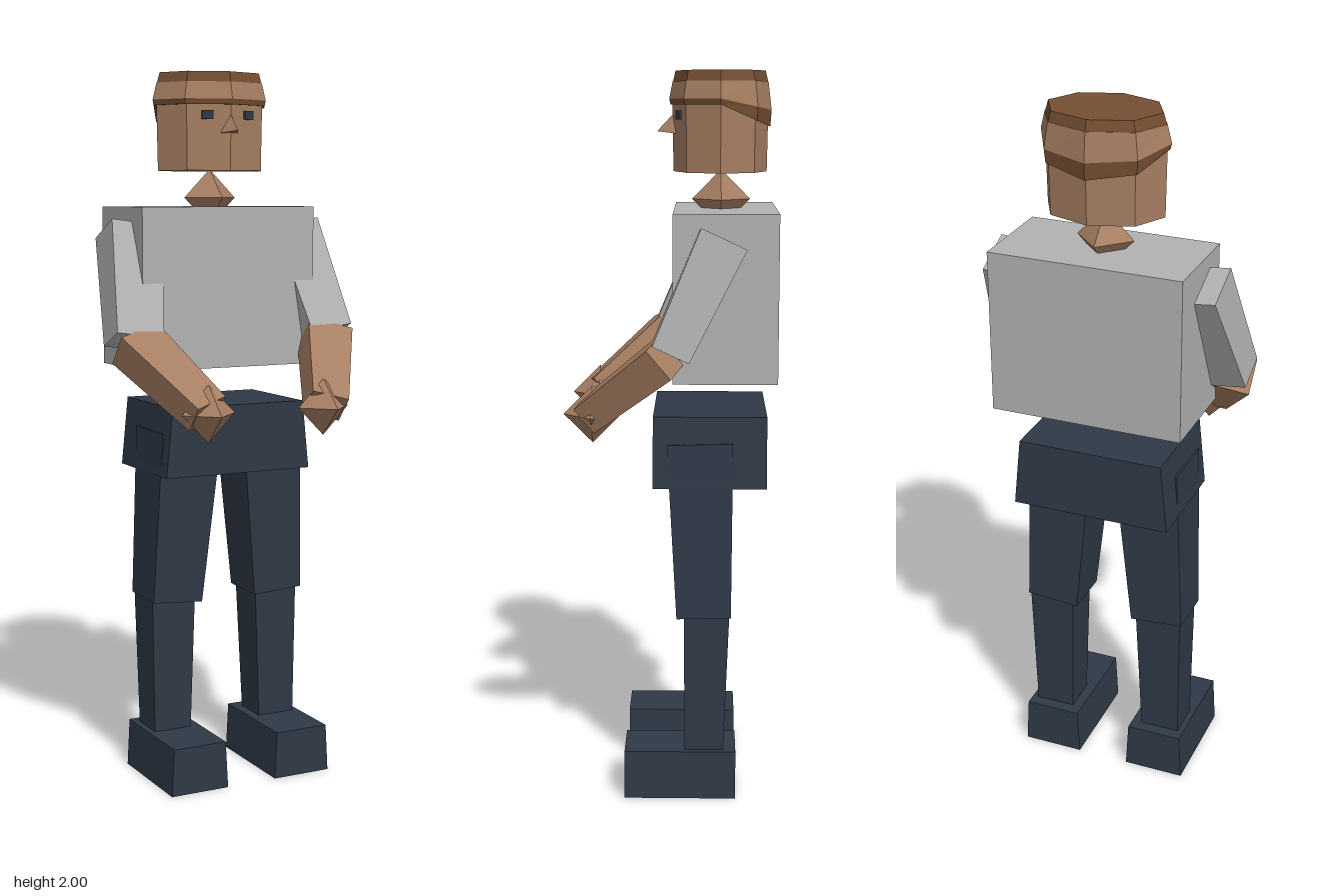
import * as THREE from 'three';

function mat(name, color) {
  const m = new THREE.MeshStandardMaterial({ color, flatShading: true });
  m.name = name;
  return m;
}

export function createModel() {
  const skin = mat('skin', 0xa67e62);
  const hair = mat('hair', 0x744e32);
  const shirt = mat('shirt', 0xb2b2b2);
  const trousers = mat('trousers', 0x2f3947);

  const model = new THREE.Group();
  model.name = 'figure';
  const body = new THREE.Group();
  body.name = 'body';
  body.position.x = 0.004;
  model.add(body);

  function add(name, geometry, material, x = 0, y = 0, z = 0) {
    const mesh = new THREE.Mesh(geometry, material);
    mesh.name = name;
    mesh.position.set(x, y, z);
    body.add(mesh);
    return mesh;
  }

  // Tapered box running from an upper point to a lower one; sizes are [width, depth]
  function taper(name, material, top, bottom, topSize, bottomSize) {
    const a = new THREE.Vector3(...top), b = new THREE.Vector3(...bottom);
    const up = a.clone().sub(b).normalize();
    const side = new THREE.Vector3(1, 0, 0).addScaledVector(up, -up.x).normalize();
    const front = side.clone().cross(up);
    const geometry = new THREE.BoxGeometry(1, 1, 1);
    const p = geometry.attributes.position, v = new THREE.Vector3();
    for (let i = 0; i < p.count; i++) {
      const upper = p.getY(i) > 0;
      const [w, d] = upper ? topSize : bottomSize;
      v.copy(upper ? a : b).addScaledVector(side, p.getX(i) * w).addScaledVector(front, p.getZ(i) * d);
      p.setXYZ(i, v.x, v.y, v.z);
    }
    geometry.computeVertexNormals();
    return add(name, geometry, material);
  }

  // Eight-sided head slice; the drops lower its edges towards the back
  const headZ = -0.135;
  function headSlice(name, material, rTop, rBottom, yTop, yBottom, dropTop = 0, dropBottom = 0) {
    const geometry = new THREE.CylinderGeometry(rTop, rBottom, 1, 8);
    const p = geometry.attributes.position;
    for (let i = 0; i < p.count; i++) {
      const upper = p.getY(i) > 0, z = p.getZ(i);
      const back = Math.max(0, -z / (upper ? rTop : rBottom));
      p.setY(i, upper ? yTop - dropTop * back : yBottom - dropBottom * back);
      p.setZ(i, z * 0.785);
    }
    geometry.computeVertexNormals();
    return add(name, geometry, material, 0, 0, headZ);
  }

  // Trunk
  add('torso', new THREE.BoxGeometry(0.536, 0.45, 0.28), shirt, 0, 1.405, -0.15);
  taper('pelvis', trousers, [0, 1.08, -0.11], [0, 0.885, -0.11], [0.41, 0.31], [0.45, 0.31]);
  add('neck', new THREE.OctahedronGeometry(0.08), skin, 0, 1.655, -0.138);

  // Head and hair
  headSlice('face', skin, 0.167, 0.163, 1.93, 1.73);
  headSlice('hairBand', hair, 0.178, 0.174, 1.925, 1.91, 0.03, 0.06);
  headSlice('crown', skin, 0.166, 0.178, 1.972, 1.925, 0, 0.03);
  headSlice('hairTop', hair, 0.156, 0.165, 2.0, 1.97);

  // Nose: three-sided wedge
  const nose = new THREE.BufferGeometry();
  const top = [0, 1.883, -0.005], tip = [0, 1.838, 0.038];
  const left = [0.028, 1.832, -0.015], right = [-0.028, 1.832, -0.015];
  nose.setAttribute('position', new THREE.Float32BufferAttribute(
    [top, right, tip, top, tip, left, tip, right, left, top, left, right].flat(), 3));
  nose.computeVertexNormals();
  add('nose', nose, skin);

  for (const s of [1, -1]) {
    const label = s > 0 ? 'left' : 'right';
    const at = (x, y, z) => [s * x, y, z];

    // Eye plate lying on the slanted face
    const eye = add(label + 'Eye', new THREE.BoxGeometry(0.032, 0.024, 0.008), trousers, s * 0.064, 1.882, -0.0225);
    eye.rotation.y = s * 0.315;

    // Arm
    taper(label + 'Sleeve', shirt, at(0.251, 1.56, -0.14), at(0.3, 1.264, -0.002), [0.15, 0.132], [0.134, 0.106]);
    taper(label + 'Forearm', skin, at(0.3, 1.262, 0.005), at(0.183, 1.085, 0.215), [0.134, 0.1], [0.104, 0.085]);
    add(label + 'Hand', new THREE.OctahedronGeometry(0.079), skin, s * 0.177, 1.083, 0.21);

    // Leg
    taper(label + 'Thigh', trousers, at(0.127, 1.0, -0.083), at(0.161, 0.516, -0.095), [0.184, 0.18], [0.152, 0.15]);
    taper(label + 'Shin', trousers, at(0.165, 0.53, -0.103), at(0.169, 0.1, -0.096), [0.134, 0.125], [0.112, 0.106]);
    taper(label + 'Shoe', trousers, at(0.163, 0.135, -0.03), at(0.163, 0, -0.03), [0.16, 0.31], [0.175, 0.31]);
  }

  return model;
}
